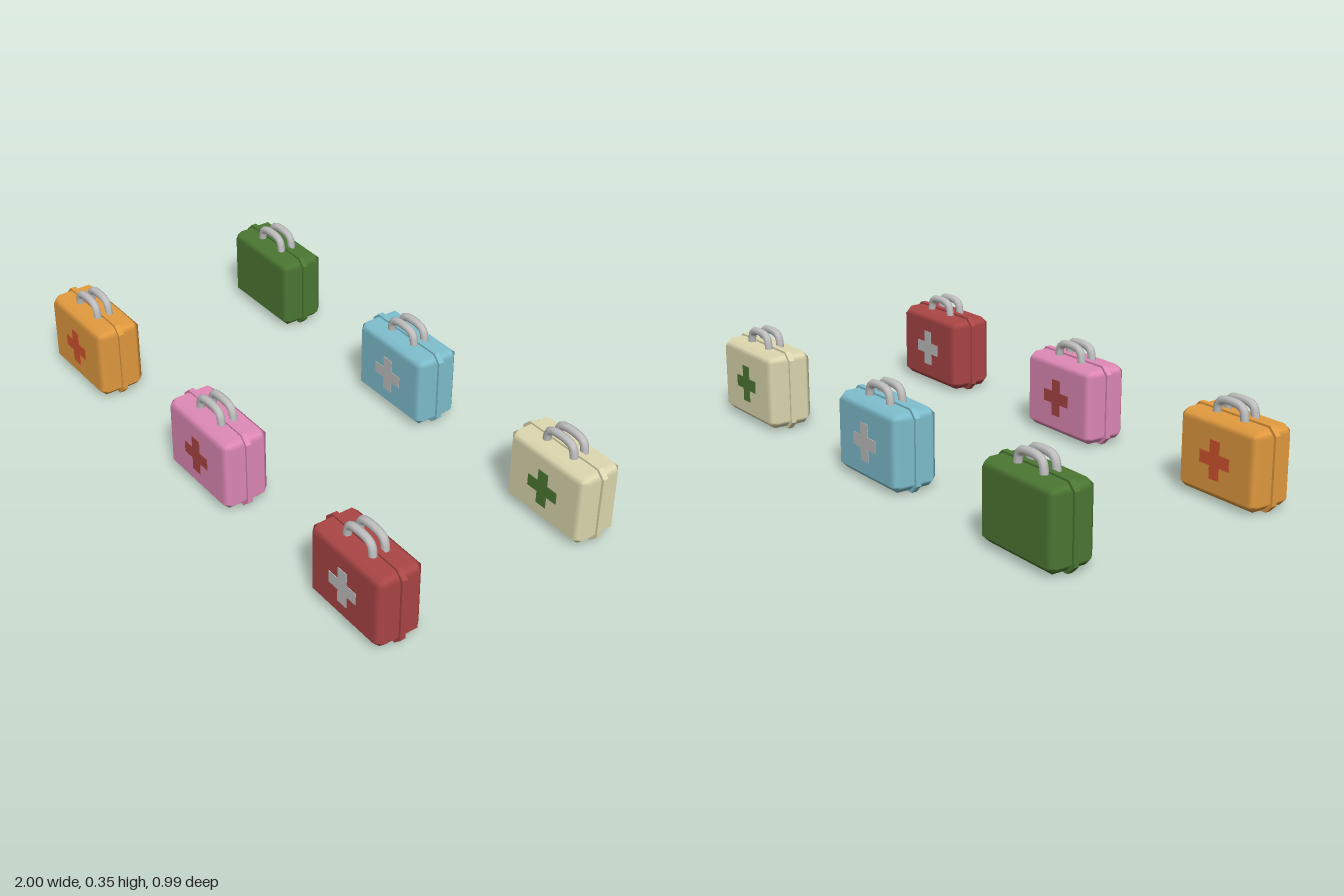
import * as THREE from 'three';

const mat = (name, color) => {
  const m = new THREE.MeshStandardMaterial({ color });
  m.name = name;
  return m;
};

const CASE = { w: 0.358, h: 0.274, d: 0.176, bevel: 0.026, y: 0.147 };

// Box with chamfered edges and normals that blend only across the chamfers
function softBox(w, h, d, bevel) {
  const geo = new THREE.BoxGeometry(1, 1, 1, 3, 3, 3);
  const pos = geo.attributes.position, nor = geo.attributes.normal;
  const half = new THREE.Vector3(w / 2, h / 2, d / 2).subScalar(bevel);
  const inner = new THREE.Vector3(), dir = new THREE.Vector3();
  for (let i = 0; i < pos.count; i++) {
    const p = new THREE.Vector3().fromBufferAttribute(pos, i);
    inner.set(Math.sign(p.x), Math.sign(p.y), Math.sign(p.z)).multiply(half);
    const out = (v) => (Math.abs(v) > 0.4 ? Math.sign(v) : 0);
    dir.set(out(p.x), out(p.y), out(p.z));
    const reach = bevel / dir.manhattanLength();
    pos.setXYZ(i, inner.x + dir.x * reach, inner.y + dir.y * reach, inner.z + dir.z * reach);
    dir.normalize();
    nor.setXYZ(i, dir.x, dir.y, dir.z);
  }
  return geo;
}

// Flat plate centred on z = 0
function plate(points, depth) {
  const shape = new THREE.Shape(points.map(([x, y]) => new THREE.Vector2(x, y)));
  return new THREE.ExtrudeGeometry(shape, { depth, bevelEnabled: false }).translate(0, 0, -depth / 2);
}

function rimGeometry() {
  const x = 0.188, y = 0.1455, c = 0.028;
  return plate([
    [x - c, -y], [x, c - y], [x, y - c], [x - c, y],
    [c - x, y], [-x, y - c], [-x, c - y], [c - x, -y],
  ], 0.02);
}

function crossGeometry() {
  const a = 0.067, b = 0.022;
  return plate([
    [b, -a], [b, -b], [a, -b], [a, b], [b, b], [b, a],
    [-b, a], [-b, b], [-a, b], [-a, -b], [-b, -b], [-b, -a],
  ], 0.004);
}

// Arched grip that rises out of the top of the case
function handleGeometry() {
  const path = new THREE.CatmullRomCurve3([
    [-0.063, 0.265], [-0.062, 0.292], [-0.055, 0.318], [-0.036, 0.33],
    [0.036, 0.33], [0.055, 0.318], [0.062, 0.292], [0.063, 0.265],
  ].map(([x, y]) => new THREE.Vector3(x, y, 0)), false, 'centripetal');
  return new THREE.TubeGeometry(path, 24, 0.0145, 8);
}

export function createModel() {
  const model = new THREE.Group();
  model.name = 'firstAidKits';

  const orange = mat('orange', 0xe39b3f);
  const pink = mat('pink', 0xe08ab6);
  const red = mat('red', 0xac4646);
  const green = mat('green', 0x4c7833);
  const blue = mat('blue', 0x7fbfcf);
  const cream = mat('cream', 0xded9b0);
  const silver = mat('silver', 0xc0c0c0);
  const vermilion = mat('vermilion', 0xd2552f);

  const caseGeo = softBox(CASE.w, CASE.h, CASE.d, CASE.bevel);
  const rimGeo = rimGeometry();
  const crossGeo = crossGeometry();
  const handleGeo = handleGeometry();

  const add = (group, name, geo, material, y, z) => {
    const mesh = new THREE.Mesh(geo, material);
    mesh.name = name;
    mesh.position.set(0, y, z);
    group.add(mesh);
  };

  // Column, row, case colour, cross colour (the green kit is plain)
  const kits = [
    [-1, 1, orange, vermilion],
    [0, 1, pink, red],
    [1, 1, red, silver],
    [-1, -1, green, null],
    [0, -1, blue, silver],
    [1, -1, cream, green],
  ];

  for (const [col, row, body, cross] of kits) {
    const kit = new THREE.Group();
    kit.name = `${body.name}Kit`;
    kit.position.set(col * 0.812, 0, row * 0.405);
    add(kit, 'case', caseGeo, body, CASE.y, 0);
    add(kit, 'rim', rimGeo, body, 0.1455, 0);
    for (const side of [1, -1]) {
      const label = side > 0 ? 'front' : 'back';
      add(kit, `${label}Handle`, handleGeo, silver, 0, side * 0.0235);
      if (cross) add(kit, `${label}Cross`, crossGeo, cross, CASE.y, side * CASE.d / 2);
    }
    model.add(kit);
  }
  return model;
}
